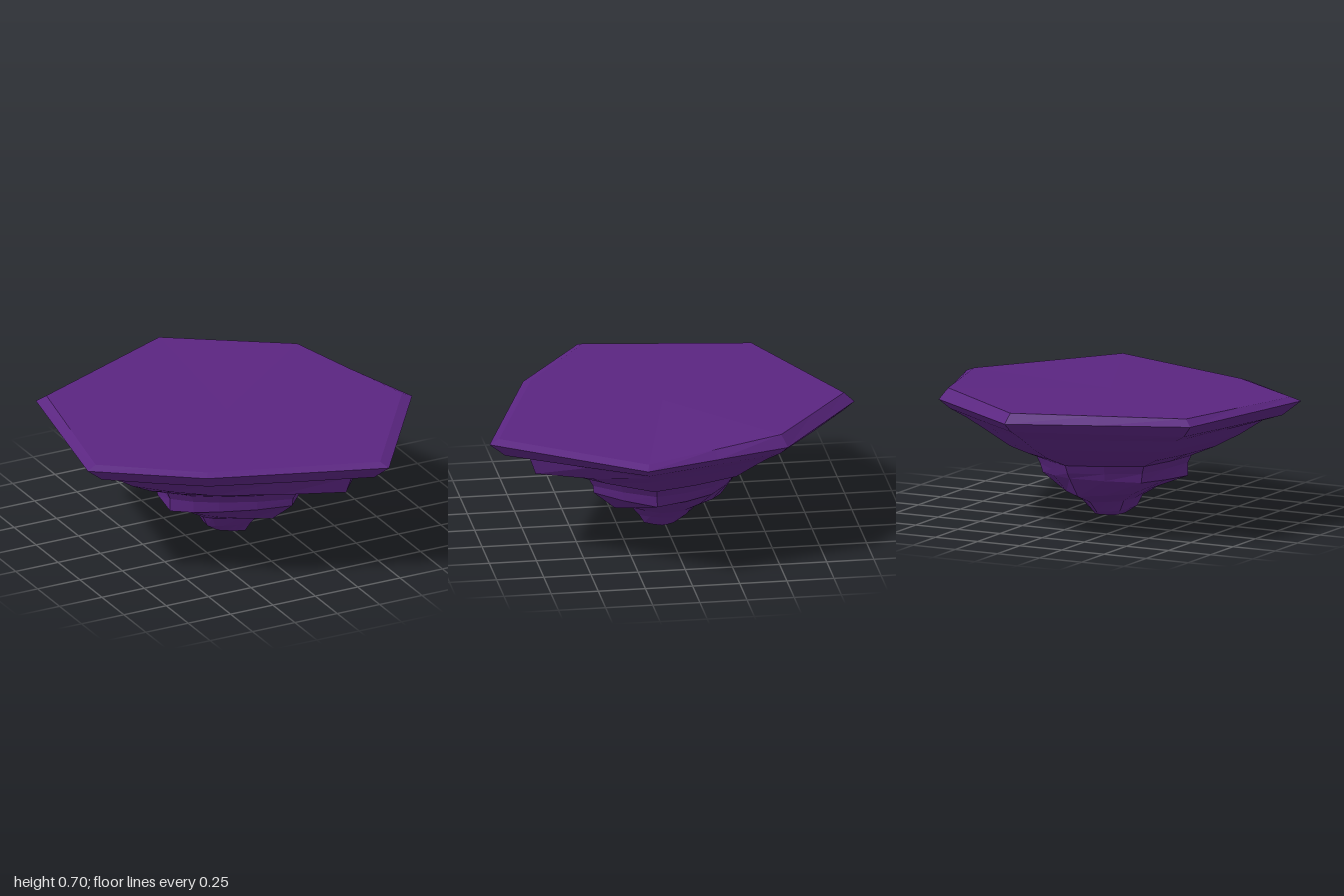
import * as THREE from 'three';

// Outline corners of the plateau, clockwise from the back: x, z, height of the top rim
const CORNERS = [
  [0.09, -1.0, 0.69], [0.72, -0.55, 0.70], [0.97, 0.23, 0.66], [0.44, 0.99, 0.66],
  [-0.47, 0.67, 0.655], [-0.98, 0.30, 0.66], [-0.81, -0.62, 0.675],
];

// Rock profiles from rim to foot: share of the outline radius, height
const BACK = [[1, 0.64], [0.94, 0.59], [0.84, 0.535], [0.72, 0.46], [0.58, 0.385], [0.42, 0.325],
  [0.40, 0.28], [0.38, 0.25], [0.30, 0.14], [0.18, 0.09], [0.12, 0.03], [0.085, 0.01]];
const RIGHT = [[1, 0.64], [0.93, 0.59], [0.83, 0.54], [0.73, 0.48], [0.59, 0.375], [0.44, 0.33],
  [0.41, 0.28], [0.40, 0.22], [0.29, 0.18], [0.165, 0.10], [0.125, 0.06], [0.08, 0]];
const FRONT = [[1, 0.64], [0.91, 0.56], [0.77, 0.52], [0.735, 0.42], [0.585, 0.39], [0.43, 0.325],
  [0.405, 0.28], [0.40, 0.24], [0.28, 0.13], [0.18, 0.11], [0.14, 0.06], [0.11, 0.01]];
const LEFT = [[1, 0.64], [0.90, 0.56], [0.80, 0.53], [0.68, 0.45], [0.55, 0.38], [0.43, 0.33],
  [0.41, 0.29], [0.41, 0.22], [0.29, 0.18], [0.175, 0.11], [0.145, 0.05], [0.085, 0.01]];

const mix = (a, b, t = 0.5) => a.map((v, i) => v + (b[i] - v) * t);
const mixProfile = (a, b) => a.map((p, i) => mix(p, b[i]));
const PROFILES = [BACK, mixProfile(BACK, RIGHT), RIGHT, FRONT, mixProfile(FRONT, LEFT), LEFT, mixProfile(LEFT, BACK)];

// Two columns per edge: one at the corner, one halfway
const COLUMNS = [];
CORNERS.forEach((corner, i) => {
  const j = (i + 1) % CORNERS.length;
  COLUMNS.push({ at: corner, profile: PROFILES[i], bulge: 0 });
  COLUMNS.push({ at: mix(corner, CORNERS[j]), profile: mixProfile(PROFILES[i], PROFILES[j]), bulge: 0.07 });
});

const ringAt = (level) => COLUMNS.map(({ at, profile, bulge }) => {
  const [s, y] = profile[level];
  const r = s * (1 + bulge * (1 - s)); // lower rings are a little rounder
  return [at[0] * r, y, at[1] * r];
});

// Skin between rings listed from top to bottom
function band(rings) {
  const out = [];
  for (let i = 0; i + 1 < rings.length; i++) {
    rings[i].forEach((a, k) => {
      const n = (k + 1) % rings[i].length;
      const b = rings[i][n], c = rings[i + 1][n], d = rings[i + 1][k];
      out.push(...a, ...b, ...c, ...a, ...c, ...d);
    });
  }
  return out;
}

// Fan closing a ring, facing up or down
function cap(ring, up) {
  const centre = [0, 1, 2].map((i) => ring.reduce((sum, p) => sum + p[i], 0) / ring.length);
  return ring.flatMap((p, k) => {
    const q = ring[(k + 1) % ring.length];
    return up ? [...centre, ...q, ...p] : [...centre, ...p, ...q];
  });
}

function addMesh(group, name, positions, material) {
  const geometry = new THREE.BufferGeometry();
  geometry.setAttribute('position', new THREE.Float32BufferAttribute(positions, 3));
  geometry.computeVertexNormals();
  const mesh = new THREE.Mesh(geometry, material);
  mesh.name = name;
  group.add(mesh);
}

export function createModel() {
  const group = new THREE.Group();
  group.name = 'floatingRock';
  const material = new THREE.MeshStandardMaterial({ color: 0x5a2580, flatShading: true });

  const rings = BACK.map((_, level) => ringAt(level));
  const topRing = COLUMNS.map(({ at }) => [at[0] * 0.945, at[2], at[1] * 0.945]);

  addMesh(group, 'plateau', cap(topRing, true), material);
  addMesh(group, 'rimBevel', band([topRing, rings[0]]), material);
  addMesh(group, 'rockUnderside', band(rings), material);
  addMesh(group, 'foot', cap(rings[rings.length - 1], false), material);
  return group;
}
